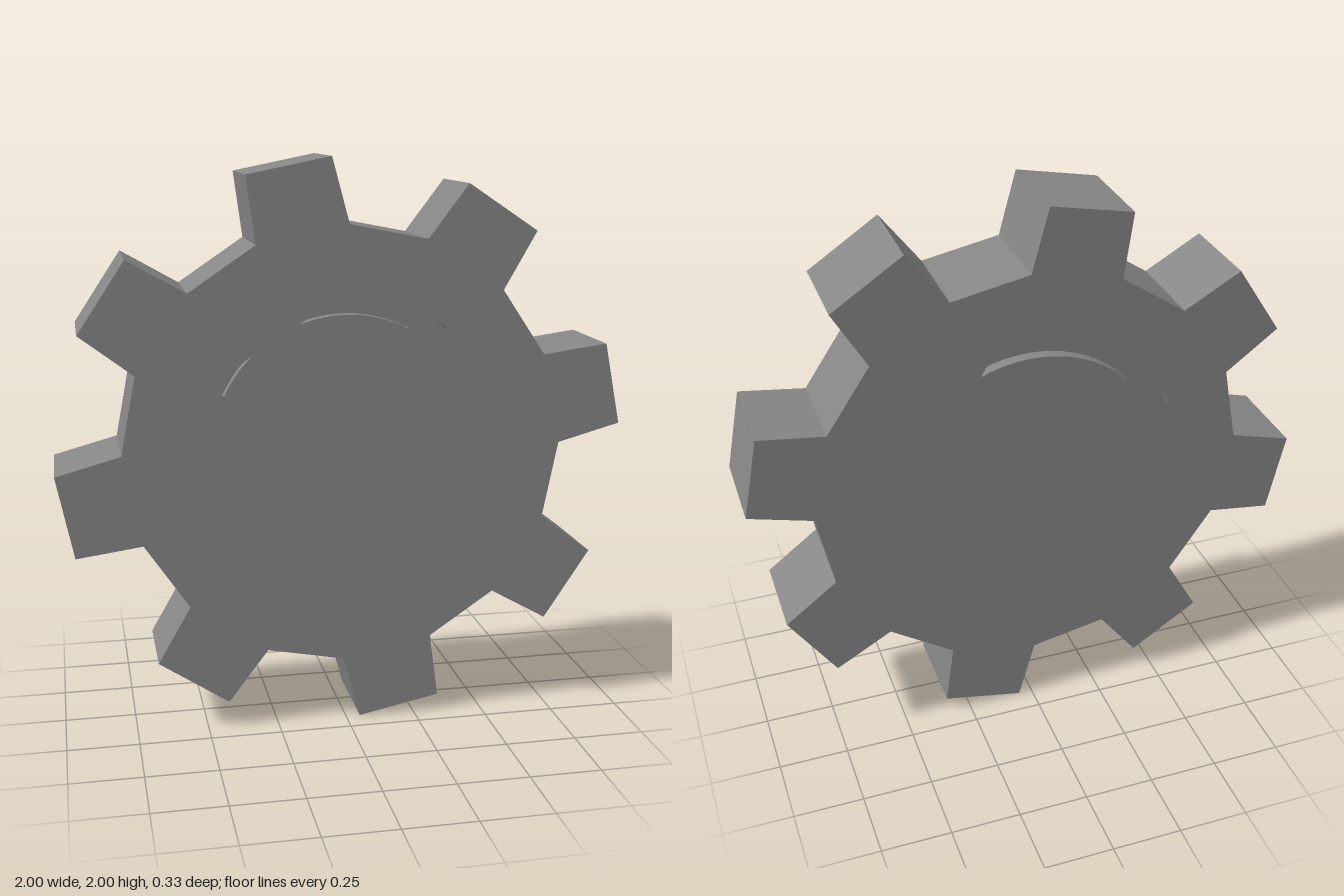
import * as THREE from 'three';

const HALF = 0.165;   // half thickness
const DEPTH = 0.04;   // groove depth
const INNER = 0.47;   // groove radii
const OUTER = 0.545;
const mat = new THREE.MeshStandardMaterial({ color: 0x868686, flatShading: true });

const polar = (r, deg) => {
  const a = THREE.MathUtils.degToRad(deg);
  return new THREE.Vector2(r * Math.cos(a), r * Math.sin(a));
};
const arc = (r, a0, a1, n) =>
  Array.from({ length: n + 1 }, (_, i) => polar(r, a0 + ((a1 - a0) * i) / n));
const circle = (r) => arc(r, 0, 360, 96).slice(0, -1);

function addMesh(group, name, geometry, z = 0) {
  const mesh = new THREE.Mesh(geometry, mat);
  mesh.name = name;
  mesh.position.z = z;
  group.add(mesh);
}

// Straight wall along a closed outline; counter-clockwise outlines face outward
function wall(pts, z0, z1) {
  const pos = [];
  pts.forEach((a, i) => {
    const b = pts[(i + 1) % pts.length];
    pos.push(a.x, a.y, z0, b.x, b.y, z0, b.x, b.y, z1);
    pos.push(a.x, a.y, z0, b.x, b.y, z1, a.x, a.y, z1);
  });
  const g = new THREE.BufferGeometry();
  g.setAttribute('position', new THREE.Float32BufferAttribute(pos, 3));
  g.computeVertexNormals();
  return g;
}

// Flat face whose openings show a ring groove running behind it
function face(name, outline, openings) {
  const group = new THREE.Group();
  group.name = name;
  const plate = new THREE.Shape(outline);
  openings.forEach((pts) => plate.holes.push(new THREE.Path(pts)));
  addMesh(group, 'facePlate', new THREE.ShapeGeometry(plate), HALF);

  const floor = HALF - DEPTH;
  addMesh(group, 'grooveInnerWall', wall(circle(INNER), floor, HALF));
  addMesh(group, 'grooveOuterWall', wall(circle(OUTER).reverse(), floor, HALF));
  addMesh(group, 'grooveFloor', new THREE.RingGeometry(INNER, OUTER, 96), floor);
  return group;
}

export function createModel() {
  const gear = new THREE.Group();
  gear.name = 'gear';
  gear.position.y = 1;

  // Eight tapered teeth
  const outline = [];
  for (let i = 0; i < 8; i++) {
    const mid = 11.4 + i * 45;
    outline.push(polar(0.775, mid - 12.15), polar(1.001, mid - 8.5),
      polar(1.001, mid + 8.5), polar(0.775, mid + 12.15));
  }
  addMesh(gear, 'toothedRim', wall(outline, -HALF, HALF));

  // Front face: pointed crescent and two small notches
  gear.add(face('frontFace', outline, [
    [...arc(OUTER, 50, 90, 12), ...arc(INNER, 110.6, 35, 20)],
    [polar(OUTER, 154.7), ...arc(INNER, 154.5, 134.6, 6)],
    [polar(INNER, -9.9), polar(INNER, -20.2), polar(0.513, -20.6)],
  ]));

  // Back face, drawn as seen from behind and turned round
  const mirrored = outline.map((p) => new THREE.Vector2(-p.x, p.y)).reverse();
  const back = face('backFace', mirrored, [
    [...arc(OUTER, 22, 104, 22), ...arc(INNER, 113, 21, 24)],
    [polar(0.482, 195.7), polar(0.522, 200.2), polar(0.475, 201)],
  ]);
  back.rotation.y = Math.PI;
  gear.add(back);

  const model = new THREE.Group();
  model.name = 'gearModel';
  model.add(gear);
  return model;
}
